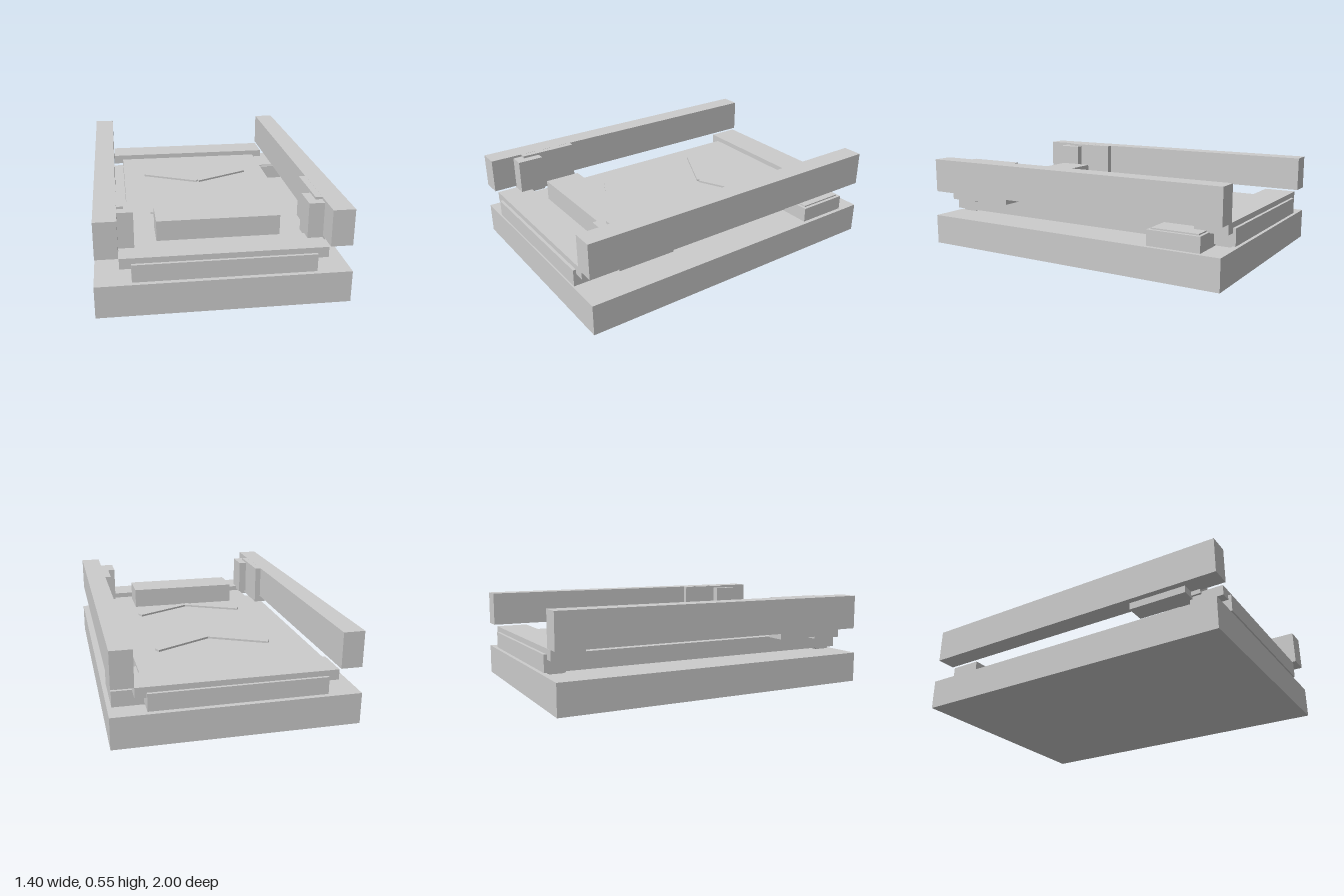
import * as THREE from 'three';

export function createModel() {
  const model = new THREE.Group();
  const material = new THREE.MeshStandardMaterial({ color: 0xcccccc, flatShading: true });

  // Box given by its extents on each axis
  function block(name, [x0, x1], [y0, y1], [z0, z1]) {
    const mesh = new THREE.Mesh(new THREE.BoxGeometry(x1 - x0, y1 - y0, z1 - z0), material);
    mesh.name = name;
    mesh.position.set((x0 + x1) / 2, (y0 + y1) / 2, (z0 + z1) / 2);
    model.add(mesh);
    return mesh;
  }
  const mirrored = (side, a, b) => (side > 0 ? [a, b] : [-b, -a]);

  // Base slab and the raised deck
  block('base', [-0.7, 0.7], [0, 0.185], [-1, 1]);
  block('deck', [-0.5, 0.5], [0.2, 0.3], [-1, 1]);

  // Cross bars over the deck ends, with a roller under each
  for (const end of [1, -1]) {
    const label = end > 0 ? 'front' : 'back';
    block(label + 'CrossBar', [-0.563, 0.563], [0.272, 0.332], mirrored(end, 0.785, 0.982));

    const roller = new THREE.Mesh(new THREE.CylinderGeometry(0.07, 0.07, 0.95, 24), material);
    roller.name = label + 'Roller';
    roller.rotation.z = Math.PI / 2;
    roller.position.set(0, 0.24, end * 0.92);
    model.add(roller);
  }

  // Side rails with their inner brackets and clamps
  for (const side of [1, -1]) {
    const label = side > 0 ? 'left' : 'right';
    block(label + 'Rail', mirrored(side, 0.565, 0.688), [0.342, 0.551], [-1, 1]);
    block(label + 'Bracket', mirrored(side, 0.527, 0.65), [0.301, 0.5505], [0.45, 0.8]);
    block(label + 'Clamp', mirrored(side, 0.477, 0.577), [0.316, 0.537], [0.695, 0.855]);
  }

  // Raised box near the front of the deck
  block('raisedBox', [-0.35, 0.35], [0.295, 0.425], [0.513, 0.732]);

  // V-shaped ribs on the deck
  const run = 0.35, rise = 0.1725;
  for (const tipZ of [0.47, -0.23]) {
    for (const side of [1, -1]) {
      const rib = new THREE.Mesh(new THREE.BoxGeometry(Math.hypot(run, rise), 0.02, 0.042), material);
      rib.name = 'chevronRib';
      rib.position.set(side * run / 2, 0.302, tipZ - rise / 2);
      rib.rotation.y = side * Math.atan2(rise, run);
      model.add(rib);
    }
  }

  // Drive housing and its lid at the back left
  block('driveHousing', [0.475, 0.675], [0.184, 0.276], [-0.875, -0.555]);
  block('driveLid', [0.495, 0.655], [0.27, 0.284], [-0.857, -0.572]);

  return model;
}
